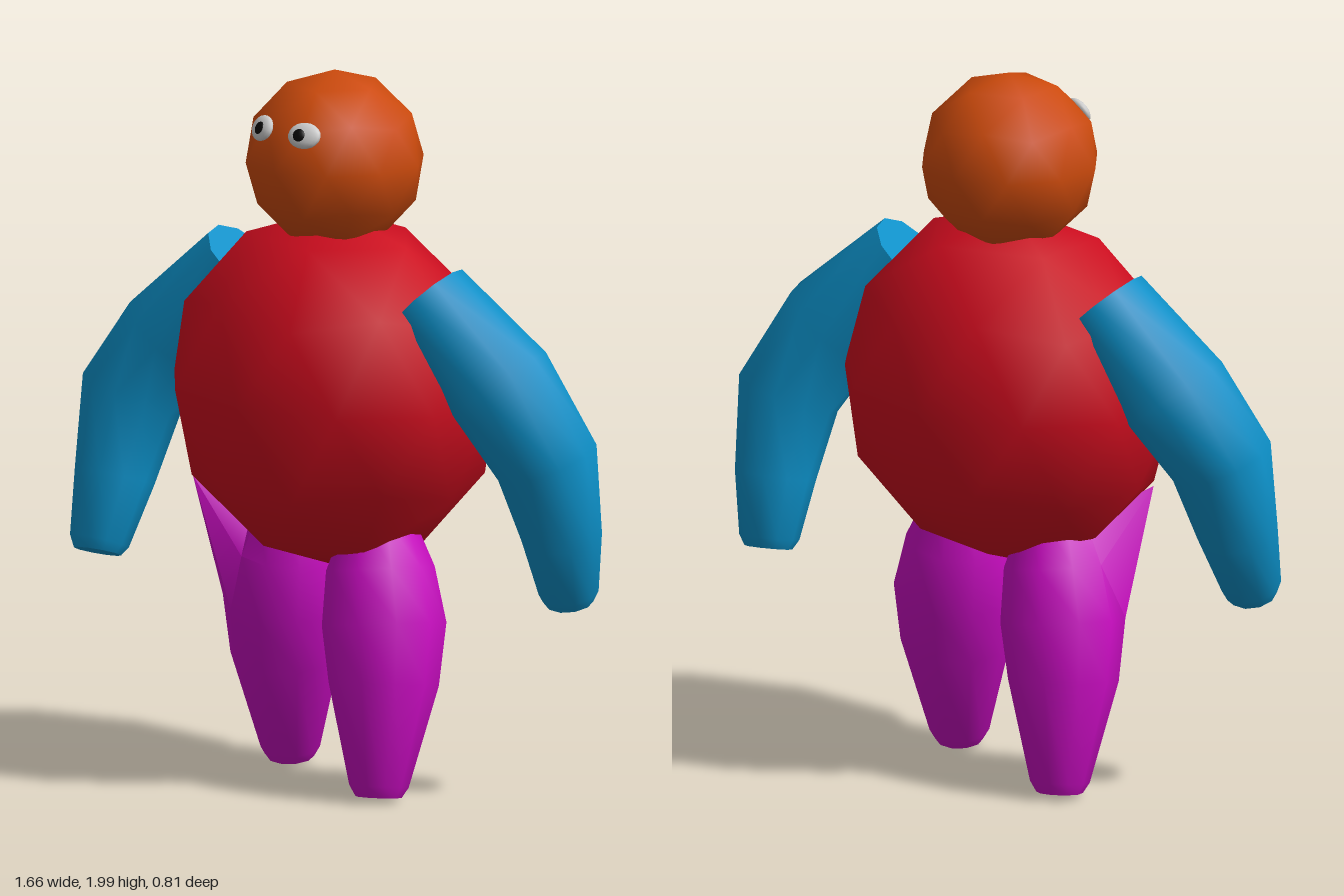
import * as THREE from 'three';
import { toCreasedNormals } from 'three/addons/utils/BufferGeometryUtils.js';

const V = (x, y, z) => new THREE.Vector3(x, y, z);
const mat = (color) => new THREE.MeshStandardMaterial({ color });

function add(parent, name, geometry, material) {
  const mesh = new THREE.Mesh(geometry, material);
  mesh.name = name;
  parent.add(mesh);
  return mesh;
}

// Low-poly ball with a vertex at each pole
function ball(rx, ry, rz, y) {
  return new THREE.IcosahedronGeometry(1, 1)
    .rotateZ(Math.atan(2 / (1 + Math.sqrt(5))))
    .rotateY(Math.PI)
    .scale(rx, ry, rz)
    .translate(0, y, 0);
}

// Closed limb through stations [x, y, z, radius], rings square to the path
function limb(stations, sides, pull) {
  const pts = stations.map(([x, y, z]) => V(x, y, z));
  const verts = [];
  const index = [];
  const last = pts.length - 1;
  pts.forEach((p, i) => {
    const t = pts[Math.min(i + 1, last)].clone().sub(pts[Math.max(i - 1, 0)]).normalize();
    const u = t.clone().cross(V(0, 0, 1)).normalize();
    const v = t.clone().cross(u);
    for (let k = 0; k < sides; k++) {
      const a = (k / sides) * Math.PI * 2;
      verts.push(p.clone()
        .addScaledVector(u, Math.cos(a) * stations[i][3])
        .addScaledVector(v, Math.sin(a) * stations[i][3]));
    }
  });
  for (let i = 0; i < last; i++) {
    for (let k = 0; k < sides; k++) {
      const a = i * sides + k;
      const b = i * sides + (k + 1) % sides;
      index.push(a, b, a + sides, b, b + sides, a + sides);
    }
  }
  // End caps
  const start = verts.push(pts[0]) - 1;
  const end = verts.push(pts[last]) - 1;
  for (let k = 0; k < sides; k++) {
    const n = (k + 1) % sides;
    index.push(start, n, k, end, last * sides + k, last * sides + n);
  }
  // Optional single corner drawn out to a point
  if (pull) {
    const near = verts.reduce((m, p) => (p.distanceTo(pull.from) < m.distanceTo(pull.from) ? p : m));
    near.copy(pull.to);
  }
  const geo = new THREE.BufferGeometry().setFromPoints(verts);
  geo.setIndex(index);
  return toCreasedNormals(geo, 0.95);
}

export function createModel() {
  const model = new THREE.Group();
  model.name = 'figure';
  const blue = mat(0x0c90c8);
  const magenta = mat(0xc80cc0);
  const white = mat(0xcccccc);
  const black = mat(0x050505);

  add(model, 'body', ball(0.5, 0.5, 0.405, 1.11), mat(0xcc0c1e));
  add(model, 'head', ball(0.25, 0.25, 0.25, 1.75), mat(0xcc4a0c));

  // Eyes: flattened balls lying on the face, each with a pupil
  for (const [name, x, px] of [['rightEye', -0.08, 0.01], ['leftEye', 0.073, -0.01]]) {
    const eye = new THREE.Group();
    eye.name = name;
    eye.position.set(x, 1.858, 0.208);
    eye.lookAt(x * 2, 1.966, 0.416);
    add(eye, 'eyeball', new THREE.SphereGeometry(1, 16, 10).scale(0.048, 0.037, 0.018), white);
    add(eye, 'pupil', new THREE.SphereGeometry(1, 12, 8).scale(0.018, 0.018, 0.007), black)
      .position.set(px, -0.003, 0.016);
    model.add(eye);
  }

  // Arms swing in opposite directions
  add(model, 'rightArm', limb([
    [-0.36, 1.42, -0.025, 0.115], [-0.57, 1.18, 0.01, 0.155], [-0.69, 1.0, 0.06, 0.145],
    [-0.69, 0.78, 0.13, 0.112], [-0.688, 0.61, 0.195, 0.083], [-0.686, 0.582, 0.205, 0.066],
  ], 10), blue);
  add(model, 'leftArm', limb([
    [0.36, 1.42, 0.015, 0.115], [0.57, 1.19, -0.04, 0.155], [0.69, 0.98, -0.1, 0.145],
    [0.685, 0.76, -0.165, 0.112], [0.675, 0.595, -0.205, 0.083], [0.673, 0.567, -0.212, 0.066],
  ], 10), blue);

  // Legs step in opposite directions
  const leg = (s) => [
    [s * 0.165, 0.75, 0, 0.1], [s * 0.185, 0.63, s * 0.02, 0.15], [s * 0.212, 0.48, s * 0.035, 0.172],
    [s * 0.237, 0.32, s * 0.065, 0.152], [s * 0.262, 0.045, s * 0.113, 0.082],
    [s * 0.264, 0.016, s * 0.117, 0.064],
  ];
  add(model, 'leftLeg', limb(leg(1), 10), magenta);
  add(model, 'rightLeg', limb(leg(-1), 10, {
    from: V(-0.31, 0.64, 0.09), to: V(-0.36, 0.84, 0.18),
  }), magenta);

  return model;
}
